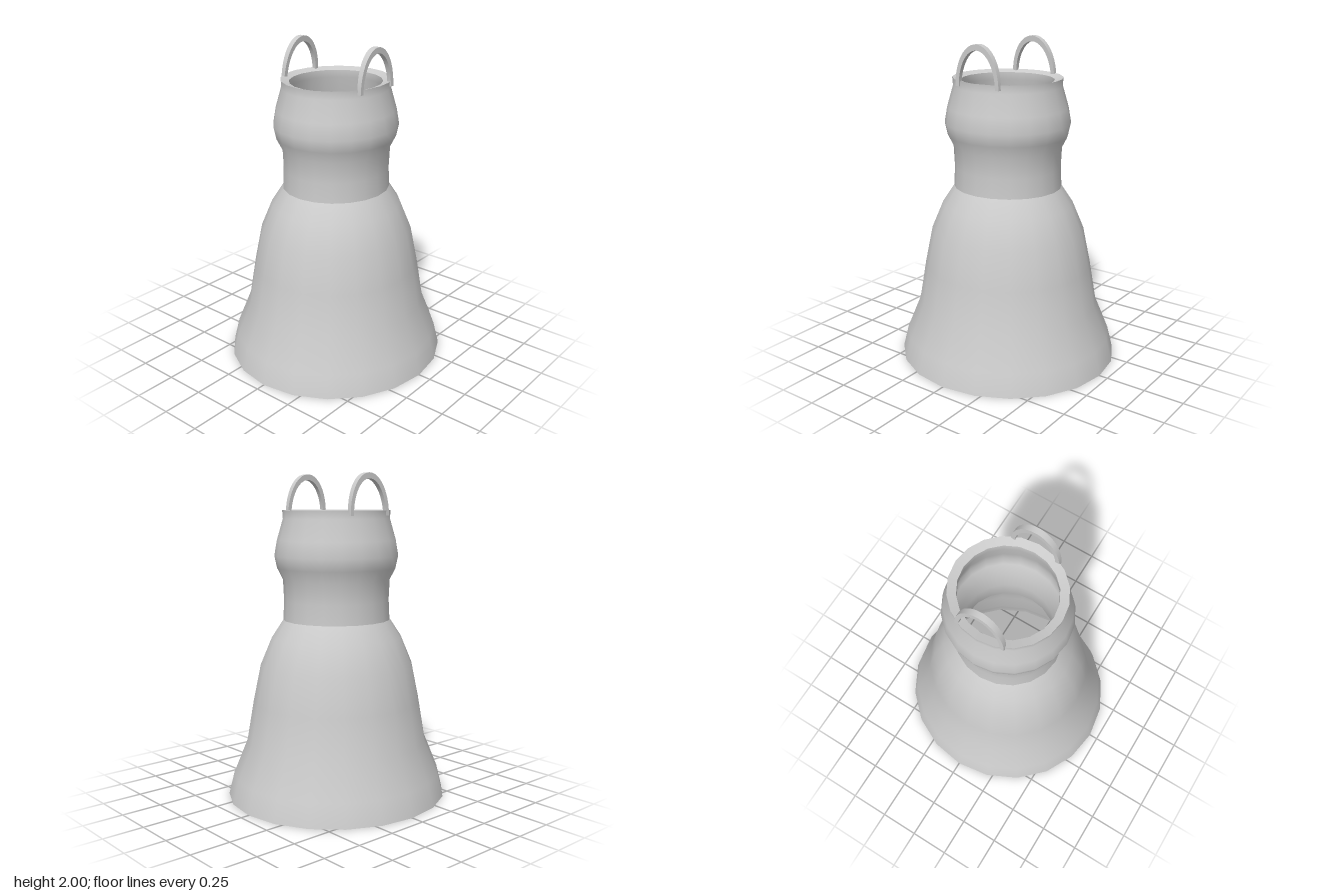
import * as THREE from 'three';
import { toCreasedNormals } from 'three/addons/utils/BufferGeometryUtils.js';

const material = new THREE.MeshStandardMaterial({ color: 0xcccccc });
const SIDES = 20;
const DEPTH = 0.965; // garment is slightly flattened front to back

// Revolve a [radius, height] profile; rising profiles face outward
function revolve(name, profile) {
  const points = profile.map(([r, y]) => new THREE.Vector2(r, y));
  const geometry = new THREE.LatheGeometry(points, SIDES);
  geometry.scale(1, 1, DEPTH);
  const mesh = new THREE.Mesh(geometry, material);
  mesh.name = name;
  return mesh;
}

// Flat arched strap, a little narrower toward its ends
function strap(name, topZ, bottomZ) {
  const baseY = 1.75;
  const height = 0.25;
  const shape = new THREE.Shape();
  shape.absellipse(0, 0, 0.155, height, 0, Math.PI, false);
  shape.lineTo(-0.13, 0);
  shape.absellipse(0, 0, 0.13, height - 0.035, Math.PI, 0, true);
  shape.closePath();
  const geometry = new THREE.ExtrudeGeometry(shape, { depth: 1, bevelEnabled: false, curveSegments: 14 });
  const pos = geometry.attributes.position;
  for (let i = 0; i < pos.count; i++) {
    const t = pos.getY(i) / height;
    const width = THREE.MathUtils.lerp(0.024, 0.036, t);
    const centre = THREE.MathUtils.lerp(bottomZ, topZ, t);
    pos.setZ(i, centre + (pos.getZ(i) - 0.5) * width);
  }
  geometry.translate(0, baseY, 0);
  const mesh = new THREE.Mesh(toCreasedNormals(geometry, 0.7), material);
  mesh.name = name;
  return mesh;
}

export function createModel() {
  const model = new THREE.Group();
  model.name = 'dress';

  // Outer cloth, listed from hem to neckline
  const skirt = [[0.695, 0], [0.66, 0.14], [0.573, 0.35], [0.53, 0.6], [0.482, 0.83], [0.41, 1.0], [0.337, 1.11]];
  const bodice = [[0.337, 1.11], [0.331, 1.23], [0.337, 1.36], [0.373, 1.43], [0.389, 1.505],
    [0.372, 1.6], [0.334, 1.73], [0.338, 1.78]];

  // Lining, listed from neckline to hem
  const lining = [[0.286, 1.765], [0.286, 1.72], [0.322, 1.59], [0.339, 1.505], [0.325, 1.45], [0.288, 1.37],
    [0.286, 1.23], [0.286, 1.1], [0.36, 0.98], [0.43, 0.81], [0.478, 0.59], [0.52, 0.34], [0.6, 0.13], [0.632, 0]];

  model.add(
    revolve('skirt', skirt),
    revolve('bodice', bodice),
    revolve('lining', lining),
    revolve('neckline', [bodice[bodice.length - 1], lining[0]]),
    revolve('hem', [lining[lining.length - 1], skirt[0]]),
    strap('frontStrap', 0.29, 0.294),
    strap('backStrap', -0.272, -0.285),
  );
  return model;
}
